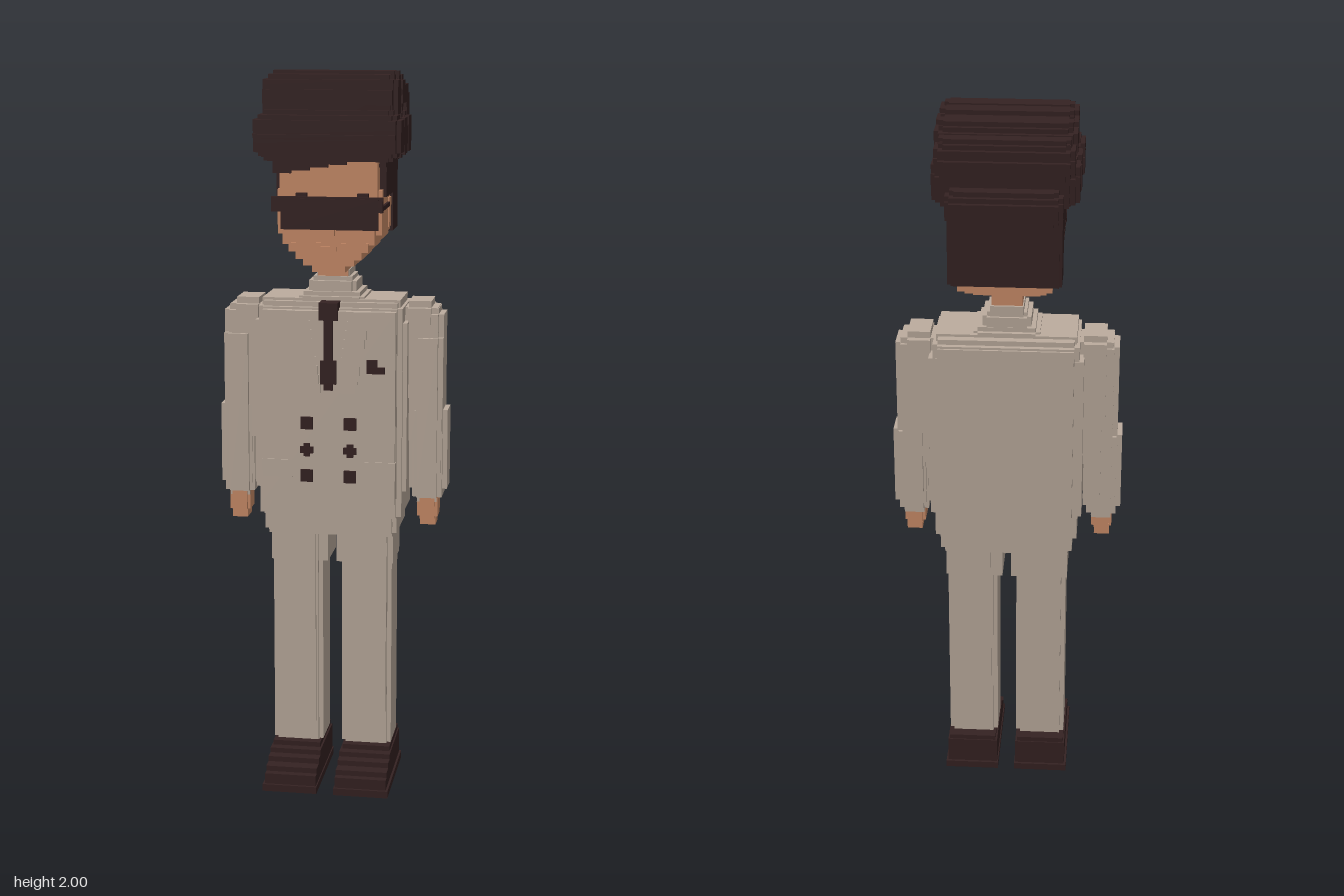
import * as THREE from 'three';
import { mergeGeometries } from 'three/addons/utils/BufferGeometryUtils.js';

const mat = (name, color) => {
  const m = new THREE.MeshStandardMaterial({ color });
  m.name = name;
  return m;
};

// Box given by its limits on each axis
function span(x0, x1, y0, y1, z0, z1) {
  return new THREE.BoxGeometry(x1 - x0, y1 - y0, z1 - z0)
    .translate((x0 + x1) / 2, (y0 + y1) / 2, (z0 + z1) / 2);
}

// Box whose edges and corners are notched by a step s
function stepped(x0, x1, y0, y1, z0, z1, s = 0.012) {
  return mergeGeometries([
    span(x0, x1, y0 + s, y1 - s, z0 + s, z1 - s),
    span(x0 + s, x1 - s, y0, y1, z0 + s, z1 - s),
    span(x0 + s, x1 - s, y0 + s, y1 - s, z0, z1),
  ]);
}

// Blocky roll along x: a stack of slabs following a circle, with stepped ends
function roll(half, y, z, r) {
  const slabs = [], n = Math.round((2 * r) / 0.0125), h = (2 * r) / n;
  for (let i = 0; i < n; i++) {
    const dy = -r + (i + 0.5) * h;
    const d = Math.round(Math.sqrt(r * r - dy * dy) / 0.012) * 0.012;
    const w = half - Math.round((r - d) * 0.5 / 0.012) * 0.012;
    slabs.push(span(-w, w, y + dy - h / 2, y + dy + h / 2, z - d, z + d));
    slabs.push(span(-w - 0.012, w + 0.012, y + dy - h / 2, y + dy + h / 2, z - d * 0.6, z + d * 0.6));
  }
  return mergeGeometries(slabs);
}

export function createModel() {
  const model = new THREE.Group();
  model.name = 'suitedFigure';
  const cloth = mat('beige cloth', 0xbcac9e);
  const skin = mat('skin', 0xcb8d69);
  const dark = mat('dark brown', 0x352222);

  const add = (name, material, ...parts) => {
    const mesh = new THREE.Mesh(mergeGeometries(parts), material);
    mesh.name = name;
    model.add(mesh);
    return mesh;
  };

  // Limbs, built for the left side and mirrored by swapping limits
  for (const side of [1, -1]) {
    const label = side > 0 ? 'left' : 'right';
    const lim = (a, b) => (side > 0 ? [a, b] : [-b, -a]);
    const b = (a, c, ...r) => span(...lim(a, c), ...r);
    const s = (a, c, ...r) => stepped(...lim(a, c), ...r);

    add(label + 'Shoe', dark,
      b(0.024, 0.178, 0, 0.02, -0.105, 0.207),
      b(0.027, 0.172, 0.02, 0.05, -0.098, 0.2),
      b(0.027, 0.172, 0.05, 0.065, -0.098, 0.18),
      b(0.027, 0.172, 0.065, 0.08, -0.098, 0.145),
      b(0.027, 0.172, 0.08, 0.094, -0.098, 0.115),
      b(0.032, 0.168, 0.094, 0.108, -0.095, 0.09));

    add(label + 'TrouserLeg', cloth,
      s(0.027, 0.168, 0.1, 0.76, -0.07, 0.076),
      b(0.045, 0.155, 0.17, 0.75, -0.075, 0.085),
      b(0.012, 0.172, 0.645, 0.77, -0.07, 0.07));

    add(label + 'Sleeve', cloth,
      s(0.19, 0.288, 1.1, 1.385, -0.065, 0.062, 0.018),
      s(0.2, 0.305, 0.98, 1.365, -0.055, 0.06, 0.015),
      s(0.212, 0.318, 0.845, 1.1, -0.048, 0.062, 0.016),
      s(0.222, 0.305, 0.825, 1.3, -0.05, 0.072, 0.014),
      b(0.235, 0.26, 0.9, 1.25, -0.062, 0.06));

    add(label + 'Hand', skin,
      s(0.236, 0.294, 0.775, 0.87, -0.012, 0.062, 0.008),
      b(0.245, 0.288, 0.758, 0.79, -0.008, 0.05));

    // Lapel, narrowing in steps towards the buttons, and hip pocket flap
    const lapel = [];
    for (let i = 0; i < 9; i++) {
      const y = 1.14 + i * 0.025;
      lapel.push(b(0.022 + i * 0.004, 0.075 + i * 0.005, y, y + 0.025, 0.12, 0.139));
    }
    add(label + 'Lapel', cloth, ...lapel);
    add(label + 'PocketFlap', cloth, b(0.1, 0.185, 0.9, 0.95, 0.12, 0.137));

    // Front buttons
    add(label + 'Buttons', dark, ...[0.907, 0.98, 1.055].map((y, i) => i === 1
      ? mergeGeometries([b(0.042, 0.078, y - 0.009, y + 0.009, 0.132, 0.141),
        b(0.051, 0.069, y - 0.018, y + 0.018, 0.132, 0.141)])
      : b(0.043, 0.077, y - 0.017, y + 0.017, 0.132, 0.141)));

    // Hair down the side of the head, leaving the cheek bare
    add(label + 'SideHair', dark,
      b(0.12, 0.15, 1.67, 1.8, -0.15, 0.083),
      b(0.12, 0.15, 1.565, 1.67, -0.15, -0.05));
    add(label + 'Ear', skin, b(0.13, 0.146, 1.58, 1.66, -0.045, -0.005));
    add(label + 'GlassesArm', dark, b(0.137, 0.149, 1.638, 1.65, 0.0, 0.16));
  }

  // Jacket
  add('jacket', cloth,
    stepped(-0.198, 0.198, 0.775, 1.385, -0.112, 0.115, 0.014),
    span(-0.183, 0.183, 0.83, 1.365, -0.118, 0.134),
    span(-0.21, 0.21, 0.86, 1.33, -0.1, 0.09),
    stepped(-0.185, 0.185, 0.73, 0.83, -0.1, 0.11, 0.012),
    span(-0.19, 0.19, 1.36, 1.392, -0.075, 0.085));

  // Collar and neck
  add('collar', cloth,
    stepped(-0.09, 0.09, 1.37, 1.41, -0.075, 0.09),
    stepped(-0.066, 0.066, 1.38, 1.45, -0.062, 0.07),
    span(-0.045, 0.045, 1.4, 1.468, -0.055, 0.05));
  add('neck', skin, span(-0.042, 0.042, 1.44, 1.56, -0.048, 0.055));

  // Tie and pocket square
  add('tie', dark,
    span(-0.026, 0.026, 1.34, 1.388, 0.08, 0.141),
    span(-0.012, 0.012, 1.2, 1.345, 0.13, 0.142),
    span(-0.022, 0.022, 1.165, 1.23, 0.132, 0.142),
    span(-0.012, 0.012, 1.148, 1.17, 0.132, 0.142));
  add('pocketSquare', dark,
    span(0.105, 0.155, 1.197, 1.215, 0.132, 0.141),
    span(0.105, 0.135, 1.215, 1.235, 0.132, 0.141));

  // Head with a jaw that steps in towards the chin
  add('head', skin,
    span(-0.132, 0.132, 1.6, 1.8, -0.14, 0.132),
    span(-0.142, 0.142, 1.57, 1.69, -0.14, 0.11),
    span(-0.125, 0.125, 1.545, 1.6, -0.145, 0.132),
    span(-0.108, 0.108, 1.525, 1.55, -0.11, 0.134),
    span(-0.09, 0.09, 1.505, 1.53, -0.07, 0.134),
    span(-0.07, 0.07, 1.488, 1.51, 0.0, 0.132),
    span(-0.045, 0.045, 1.47, 1.49, 0.06, 0.13));
  add('mouth', skin, span(-0.025, 0.022, 1.528, 1.54, 0.13, 0.138));
  add('nose', skin, span(-0.018, 0.018, 1.57, 1.61, 0.13, 0.148));

  // Dark glasses
  add('glasses', dark,
    span(-0.125, 0.138, 1.588, 1.67, 0.15, 0.162),
    span(-0.15, 0.15, 1.635, 1.675, 0.148, 0.16),
    span(-0.085, -0.055, 1.665, 1.684, 0.14, 0.155),
    span(0.08, 0.11, 1.665, 1.684, 0.14, 0.155));

  // Hair: back panel, core and stacked rolls
  add('backHair', dark, stepped(-0.15, 0.15, 1.56, 1.8, -0.156, -0.12, 0.008));
  add('hairCore', dark,
    span(-0.165, 0.165, 1.78, 1.95, -0.15, 0.13),
    span(-0.15, 0.15, 1.75, 1.8, -0.15, 0.1));
  const rolls = [
    [0.186, 1.835, 0.125, 0.067],
    [0.17, 1.935, 0.075, 0.058],
    [0.172, 1.945, -0.01, 0.055],
    [0.172, 1.938, -0.07, 0.05],
    [0.168, 1.905, -0.13, 0.055],
    [0.14, 1.785, -0.16, 0.046],
    [0.182, 1.83, 0.02, 0.06],
    [0.18, 1.83, -0.08, 0.06],
  ];
  add('hairRolls', dark, ...rolls.map((r) => roll(...r)));

  // Fringe, hanging lower on the right than the left
  const fringe = [];
  for (let i = 0; i < 6; i++) {
    const x = -0.15 + i * 0.05;
    fringe.push(span(x, x + 0.05, 1.735 + i * 0.008, 1.82, 0.08, 0.14));
  }
  add('fringe', dark, ...fringe);

  return model;
}
